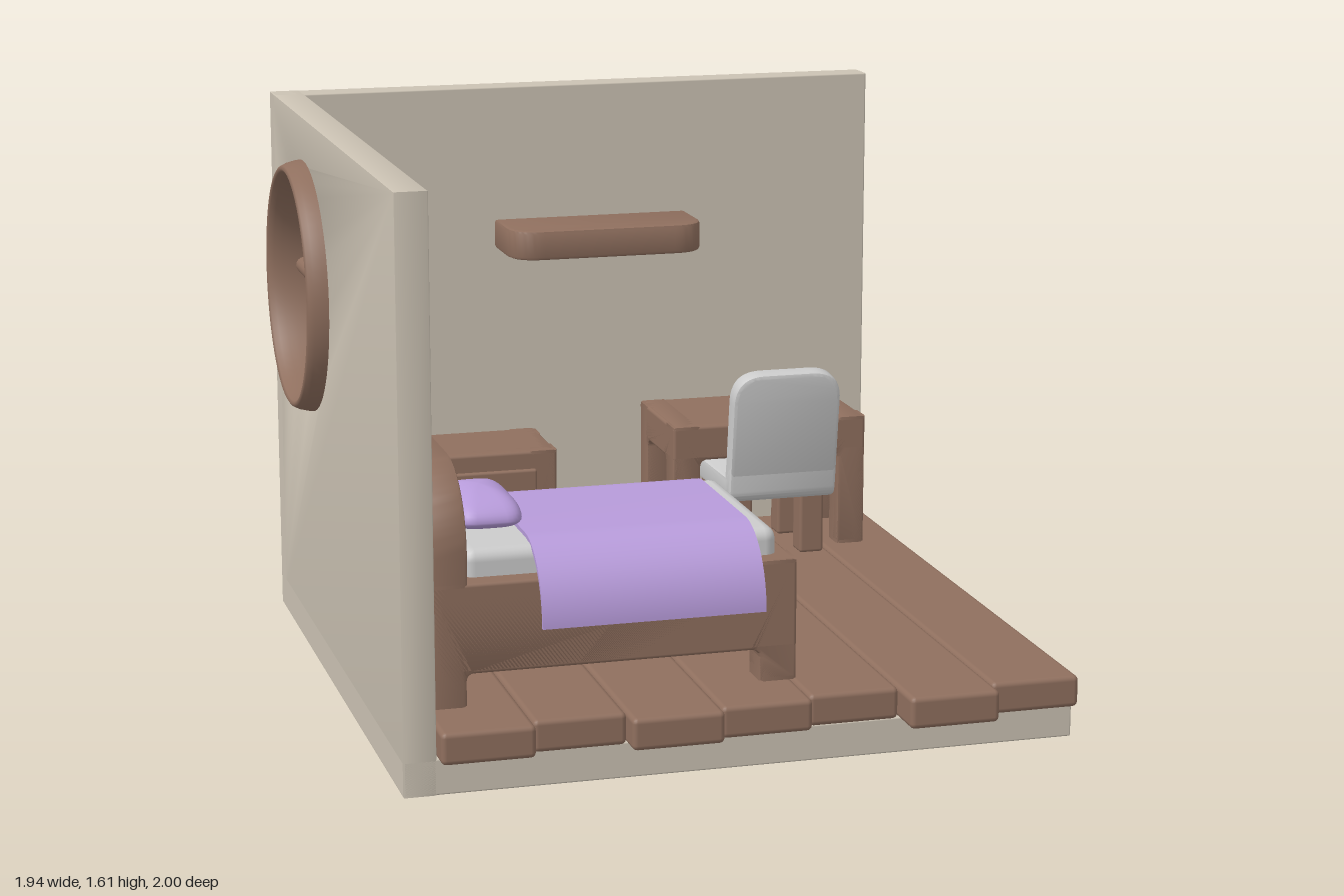
import * as THREE from 'three';
import { RoundedBoxGeometry } from 'three/addons/geometries/RoundedBoxGeometry.js';
import { toCreasedNormals } from 'three/addons/utils/BufferGeometryUtils.js';

const wall = new THREE.MeshStandardMaterial({ color: 0xcbc2b3 });
const wood = new THREE.MeshStandardMaterial({ color: 0x8f6f5e });
const cloth = new THREE.MeshStandardMaterial({ color: 0xb79bda });
const grey = new THREE.MeshStandardMaterial({ color: 0xcccccc });

function add(parent, name, geometry, material) {
  const mesh = new THREE.Mesh(geometry, material);
  mesh.name = name;
  parent.add(mesh);
  return mesh;
}

function group(parent, name) {
  const g = new THREE.Group();
  g.name = name;
  parent.add(g);
  return g;
}

// Softly rounded box given by its limits
function box(parent, name, material, [x0, x1], [y0, y1], [z0, z1], r = 0.01) {
  const geo = new RoundedBoxGeometry(x1 - x0, y1 - y0, z1 - z0, 2, r);
  geo.translate((x0 + x1) / 2, (y0 + y1) / 2, (z0 + z1) / 2);
  return add(parent, name, geo, material);
}

// Bevelled extrusion that stays inside its outline; axis is the extrusion direction
function slab(shape, axis, from, to, bevel = 0.01) {
  let geo = new THREE.ExtrudeGeometry(shape, {
    depth: to - from - 2 * bevel, curveSegments: 16, bevelEnabled: bevel > 0,
    bevelThickness: bevel, bevelSize: bevel, bevelOffset: -bevel, bevelSegments: 2,
  });
  geo.translate(0, 0, bevel);
  if (axis === 'x') geo.rotateY(-Math.PI / 2).translate(to, 0, 0); // shape is (z, y)
  if (axis === 'y') geo.rotateX(Math.PI / 2).translate(0, to, 0); // shape is (x, z)
  if (axis === 'z') geo.translate(0, 0, from); // shape is (x, y)
  return toCreasedNormals(geo, 0.7);
}

function rect(a0, a1, b0, b1) {
  return new THREE.Shape([[a0, b0], [a1, b0], [a1, b1], [a0, b1]].map(p => new THREE.Vector2(...p)));
}

// Panel outline with a round-cornered opening between two legs
function archShape(a0, a1, b0, b1, leg, cut, r = 0.025) {
  const s = new THREE.Shape();
  s.moveTo(a0, b0).lineTo(a0 + leg, b0).lineTo(a0 + leg, cut - r);
  s.quadraticCurveTo(a0 + leg, cut, a0 + leg + r, cut).lineTo(a1 - leg - r, cut);
  s.quadraticCurveTo(a1 - leg, cut, a1 - leg, cut - r).lineTo(a1 - leg, b0);
  s.lineTo(a1, b0).lineTo(a1, b1).lineTo(a0, b1).closePath();
  return s;
}

// Solid body standing on four legs, open on all four sides below the cut
function carcass(parent, x, y, z, leg, cut) {
  box(parent, 'body', wood, x, [cut, y[1]], z);
  const front = archShape(x[0], x[1], y[0], y[1], leg, cut);
  const side = archShape(z[0], z[1], y[0], y[1], leg, cut);
  add(parent, 'backPanel', slab(front, 'z', z[0], z[0] + leg), wood);
  add(parent, 'frontPanel', slab(front, 'z', z[1] - leg, z[1]), wood);
  add(parent, 'rightPanel', slab(side, 'x', x[0], x[0] + leg), wood);
  add(parent, 'leftPanel', slab(side, 'x', x[1] - leg, x[1]), wood);
}

function buildRoom(root) {
  const room = group(root, 'room');
  box(room, 'floorSlab', wall, [-0.91, 0.97], [0, 0.1], [-1, 0.88], 0.005);
  box(room, 'backWall', wall, [-0.91, 0.97], [0, 1.61], [-1, -0.91], 0.005);
  const side = rect(-1, 0.88, 0, 1.61);
  side.holes.push(new THREE.Path().absarc(-0.43, 1.12, 0.345, 0, Math.PI * 2, true));
  add(room, 'sideWall', slab(side, 'x', -0.91, -0.82, 0.003), wall);

  // Floorboards with uneven front ends
  const width = 1.79 / 7;
  [0.945, 0.905, 0.965, 0.93, 0.895, 0.995, 0.93].forEach((end, i) => {
    const x = -0.82 + i * width;
    box(room, 'floorboard', wood, [x, x + width], [0.1, 0.19], [-0.91, end], 0.015);
  });

  // Round window with crossed bars
  const win = group(room, 'window');
  win.position.set(-0.86, 1.12, -0.43);
  win.rotation.y = Math.PI / 2;
  const ring = new THREE.TorusGeometry(0.342, 0.0275, 20, 64).scale(1, 1, 4);
  add(win, 'windowFrame', ring, wood);
  for (const turn of [0, Math.PI / 2]) {
    add(win, 'windowBar', new THREE.CylinderGeometry(0.025, 0.025, 0.66, 16), wood).rotation.z = turn;
  }

  // Shelf with rounded front corners
  const s = new THREE.Shape();
  s.moveTo(-0.235, -0.91).lineTo(0.375, -0.91).lineTo(0.375, -0.765);
  s.quadraticCurveTo(0.375, -0.665, 0.275, -0.665).lineTo(-0.135, -0.665);
  s.quadraticCurveTo(-0.235, -0.665, -0.235, -0.765).closePath();
  add(room, 'shelf', slab(s, 'y', 1.11, 1.2), wood);
}

function buildBed(root) {
  const bed = group(root, 'bed');
  carcass(bed, [-0.81, 0.215], [0.19, 0.53], [0.05, 0.745], 0.105, 0.28);
  const h = new THREE.Shape();
  h.moveTo(0.05, 0.29).lineTo(0.745, 0.29).lineTo(0.745, 0.6);
  h.bezierCurveTo(0.745, 0.73, 0.65, 0.835, 0.51, 0.835).lineTo(0.285, 0.835);
  h.bezierCurveTo(0.145, 0.835, 0.05, 0.73, 0.05, 0.6).closePath();
  add(bed, 'headboard', slab(h, 'x', -0.81, -0.7), wood);
  box(bed, 'mattress', grey, [-0.7, 0.178], [0.45, 0.605], [0.11, 0.685], 0.035);

  // Blanket hanging over both sides
  const b = new THREE.Shape();
  b.moveTo(0.8, 0.405);
  b.absellipse(0.6, 0.405, 0.2, 0.215, 0, Math.PI / 2, false);
  b.absellipse(0.195, 0.405, 0.2, 0.215, Math.PI / 2, Math.PI, false);
  b.absellipse(0.195, 0.405, 0.188, 0.203, Math.PI, Math.PI / 2, true);
  b.absellipse(0.6, 0.405, 0.188, 0.203, Math.PI / 2, 0, true);
  add(bed, 'blanket', slab(b, 'x', -0.51, 0.11, 0), cloth);

  // Pillow: a sphere pushed towards a rectangular outline, flatter underneath
  const geo = new THREE.SphereGeometry(1, 40, 24);
  const p = geo.attributes.position;
  const square = v => Math.sign(v) * Math.abs(v) ** 0.45;
  for (let i = 0; i < p.count; i++) {
    const x = p.getX(i), y = p.getY(i), z = p.getZ(i);
    const r = Math.hypot(x, z) || 1e-6;
    p.setXYZ(i, 0.097 * r * square(x / r), y * (y > 0 ? 0.07 : 0.038), 0.168 * r * square(z / r));
  }
  geo.computeVertexNormals();
  add(bed, 'pillow', geo, cloth).position.set(-0.59, 0.642, 0.398);
}

function buildNightstand(root) {
  const stand = group(root, 'nightstand');
  carcass(stand, [-0.635, -0.115], [0.19, 0.53], [-0.91, -0.615], 0.088, 0.235);
  box(stand, 'drawer', wood, [-0.57, -0.18], [0.3, 0.475], [-0.64, -0.603], 0.008);
  add(stand, 'drawerKnob', new THREE.SphereGeometry(0.029, 20, 14), wood).position.set(-0.375, 0.385, -0.58);
}

function buildChair(root) {
  const chair = group(root, 'chair');
  // Seat with the bend up into the backrest
  const s = new THREE.Shape();
  s.moveTo(-0.77, 0.385).lineTo(-0.43, 0.378).quadraticCurveTo(-0.395, 0.378, -0.39, 0.415);
  s.lineTo(-0.38, 0.5).lineTo(-0.442, 0.5).lineTo(-0.45, 0.452).lineTo(-0.77, 0.448).closePath();
  add(chair, 'seat', slab(s, 'x', 0.37, 0.71, 0.012), grey);
  // Leaning backrest with rounded top corners
  const b = new THREE.Shape();
  b.moveTo(-0.17, 0).lineTo(0.17, 0).lineTo(0.17, 0.25);
  b.quadraticCurveTo(0.17, 0.345, 0.075, 0.345).lineTo(-0.075, 0.345);
  b.quadraticCurveTo(-0.17, 0.345, -0.17, 0.25).closePath();
  const back = add(chair, 'backrest', slab(b, 'z', -0.06, 0, 0.012), grey);
  back.position.set(0.54, 0.444, -0.387);
  back.rotation.x = 0.135;
  for (const x of [0.385, 0.615]) {
    for (const z of [-0.525, -0.75]) {
      box(chair, 'chairLeg', wood, [x, x + 0.077], [0.19, 0.4], [z, z + 0.075]);
    }
  }
}

export function createModel() {
  const root = new THREE.Group();
  root.name = 'bedroom';
  buildRoom(root);
  buildBed(root);
  buildNightstand(root);
  carcass(group(root, 'desk'), [0.23, 0.85], [0.19, 0.595], [-0.91, -0.525], 0.088, 0.487);
  buildChair(root);
  return root;
}
